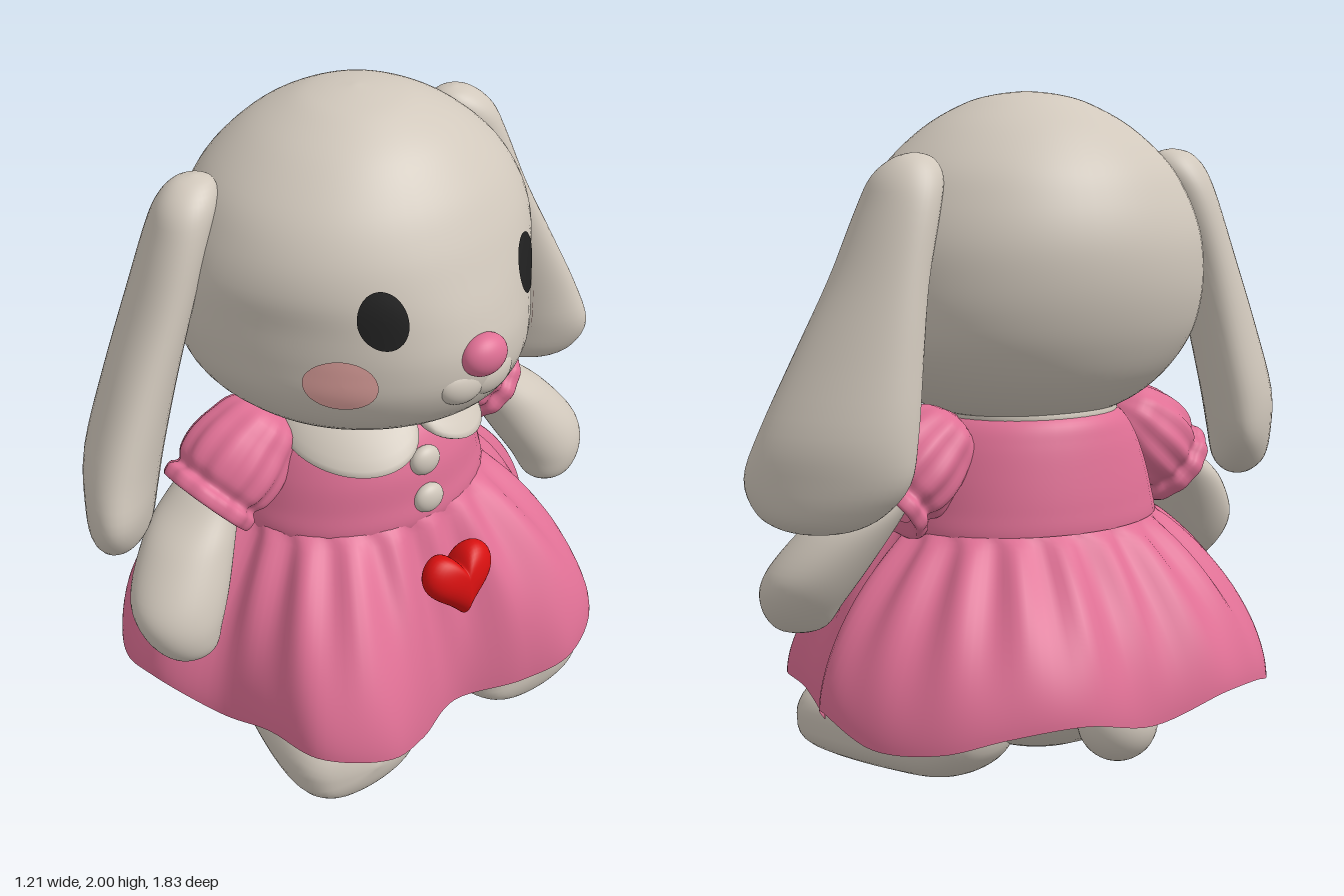
import * as THREE from 'three';
import { mergeVertices } from 'three/addons/utils/BufferGeometryUtils.js';
import { ParametricGeometry } from 'three/addons/geometries/ParametricGeometry.js';

const mat = (name, color, side = THREE.FrontSide) =>
  Object.assign(new THREE.MeshStandardMaterial({ color, side }), { name });

// Smooth interpolation through a list of rows, t in 0..1
function sample(rows, t) {
  const n = rows.length - 1, f = Math.min(t, 1) * n, i = Math.min(Math.floor(f), n - 1), k = f - i;
  const [a, b, c, d] = [rows[Math.max(i - 1, 0)], rows[i], rows[i + 1], rows[Math.min(i + 2, n)]];
  return b.map((_, j) => 0.5 * (2 * b[j] + (c[j] - a[j]) * k + (2 * a[j] - 5 * b[j] + 4 * c[j] - d[j]) * k * k
    + (3 * b[j] - a[j] - 3 * c[j] + d[j]) * k * k * k));
}

// Smooth surface from a rule, welded along its seams
function surface(fn, nu, nv) {
  const g = new ParametricGeometry(fn, nu, nv);
  g.deleteAttribute('normal');
  g.deleteAttribute('uv');
  const m = mergeVertices(g, 1e-5);
  m.computeVertexNormals();
  return m;
}

// Closed form from oval sections [y, centreX, centreZ, radiusX, radiusFront, radiusBack, pointedness, slant]
function loft(rows, nu = 40, nv = 40, ripple = () => 1) {
  return surface((u, v, p) => {
    const [y, cx, cz, rx, rf, rb, point = 1, slant = 0] = sample(rows, v);
    const a = (u % 1) * Math.PI * 2, c = Math.cos(a), k = ripple(a, v);
    const z = c > 0 ? Math.max(rf, 0) * c ** point : Math.max(rb, 0) * c;
    p.set(cx + Math.max(rx, 0) * Math.sin(a) * k, y, cz + z * k + slant * Math.sin(a));
  }, nu, nv);
}

const HEAD = [
  [1.06, 0, 0, 0, 0, 0, 1], [1.08, 0, 0, 0.2, 0.2, 0.18, 1], [1.12, 0, 0, 0.33, 0.325, 0.28, 1],
  [1.2, 0, 0, 0.435, 0.465, 0.37, 1.15], [1.3, 0, 0, 0.51, 0.53, 0.43, 1.4], [1.4, 0, 0, 0.535, 0.54, 0.465, 1.55],
  [1.5, 0, 0, 0.535, 0.515, 0.48, 1.45], [1.6, 0, 0, 0.52, 0.475, 0.475, 1.15], [1.7, 0, 0, 0.48, 0.43, 0.445, 1],
  [1.8, 0, 0, 0.415, 0.37, 0.39, 1], [1.9, 0, 0, 0.3, 0.28, 0.29, 1], [1.965, 0, 0, 0.18, 0.175, 0.175, 1],
  [1.99, 0, 0, 0.09, 0.09, 0.09, 1], [2, 0, 0, 0, 0, 0, 1]];

// Depth of the face at a given x and y
function faceZ(x, y) {
  let lo = 0, hi = 1;
  for (let i = 0; i < 30; i++) {
    const m = (lo + hi) / 2;
    if (sample(HEAD, m)[0] < y) lo = m; else hi = m;
  }
  const r = sample(HEAD, lo);
  return r[4] * Math.max(0, 1 - (x / r[3]) ** 2) ** (r[6] / 2);
}

// Thin oval patch lying on the face
function facePatch(x, y, w, h) {
  const g = new THREE.RingGeometry(0.001, 1, 36, 5), p = g.attributes.position;
  for (let i = 0; i < p.count; i++) {
    const px = x + p.getX(i) * w, py = y + p.getY(i) * h;
    p.setXYZ(i, px, py, faceZ(px, py) + 0.008);
  }
  g.computeVertexNormals();
  return g;
}

export function createModel() {
  const fur = mat('fur', 0xd1c8bc), dress = mat('dress pink', 0xe07095), cloth = mat('skirt pink', 0xe07095, THREE.DoubleSide);
  const eyeBlack = mat('eye black', 0x202020), blush = mat('blush', 0xe8a8a4), red = mat('heart red', 0xd81010);
  const model = new THREE.Group(), body = new THREE.Group();
  model.name = 'rabbitDoll';
  body.name = 'rabbit';
  body.rotation.y = Math.PI / 2; // the doll looks along +x
  model.add(body);
  const add = (name, geometry, material, pos = [0, 0, 0], rot = [0, 0, 0], scale = [1, 1, 1]) => {
    const m = new THREE.Mesh(geometry, material);
    m.name = name;
    m.position.set(...pos);
    m.rotation.set(...rot);
    m.scale.set(...scale);
    body.add(m);
  };
  const ball = new THREE.SphereGeometry(1, 32, 24);

  // Head, nose and neck
  add('head', loft(HEAD, 64, 64), fur);
  add('nose', ball, dress, [0, 1.415, 0.537], [0, 0, 0], [0.072, 0.06, 0.05]);
  add('neck', new THREE.CylinderGeometry(0.24, 0.26, 0.25, 32), fur, [0, 1.05, 0]);

  // Trunk, tail and bodice
  add('belly', ball, fur, [0, 0.43, -0.06], [0, 0, 0], [0.42, 0.34, 0.4]);
  add('tail', ball, fur, [0, 0.245, -0.43], [0, 0, 0], [0.115, 0.115, 0.115]);
  add('bodice', loft([
    [0.68, 0, 0, 0.38, 0.31, 0.3], [0.76, 0, 0, 0.41, 0.34, 0.33], [0.84, 0, 0, 0.395, 0.33, 0.325],
    [0.93, 0, 0, 0.37, 0.315, 0.31], [1.02, 0, 0, 0.33, 0.275, 0.29], [1.08, 0, 0, 0.28, 0.21, 0.265],
    [1.12, 0, 0, 0.2, 0.15, 0.2]]), dress);

  // Skirt: gathered waist flowing to a wavy hem
  const half = [[0.2, 0.18, 0.56], [0.36, 0.22, 0.6], [0.54, 0.26, 0.5], [0.58, 0.26, 0.32], [0.62, 0.22, 0.14],
    [0.735, 0.31, -0.04], [0.7, 0.25, -0.25], [0.59, 0.26, -0.42], [0.45, 0.3, -0.52], [0.25, 0.32, -0.6]];
  const hem = new THREE.CatmullRomCurve3([[0, 0.16, 0.48], ...half, [0, 0.27, -0.59],
    ...half.map(([x, y, z]) => [-x, y, z]).reverse()].map(p => new THREE.Vector3(...p)), true);
  add('skirt', surface((u, v, p) => {
    const h = hem.getPoint(u % 1), s = 1 - v, a = Math.atan2(h.x, h.z);
    const out = 1 - (1 - s) ** 1.75;
    const fold = 1 + 0.05 * Math.cos(20 * a) * Math.sin(Math.PI * Math.sqrt(s)) * (1 - s);
    const wx = 0.405 * Math.sin(a), wz = 0.338 * Math.cos(a);
    p.set((wx + (h.x - wx) * out) * fold, 0.775 + (h.y - 0.775) * s, (wz + (h.z - wz) * out) * fold);
  }, 160, 32), cloth);

  // Collar with two rounded flaps, open at the front
  add('collar', surface((u, v, p) => {
    let a = (u % 1) * Math.PI * 2;
    if (a > Math.PI) a -= Math.PI * 2;
    const e = 0.2 + 0.8 * Math.max(0, Math.sin(Math.PI * Math.min(Math.abs(a) / 1.6, 1) ** 0.8)) ** 0.6;
    const w = (v % 1) * Math.PI * 2, t = e * (0.5 + 0.5 * Math.cos(w));
    p.set((0.25 + 0.11 * t) * Math.sin(a), 1.115 - 0.13 * t + 0.022 * Math.sin(w), (0.22 + 0.17 * t) * Math.cos(a));
  }, 120, 14), fur);

  // Buttons
  for (const [y, z] of [[0.955, 0.315], [0.835, 0.335]])
    add('button', ball, fur, [0, y, z], [0, 0, 0], [0.05, 0.046, 0.03]);

  // Puffy heart
  add('heart', surface((u, v, p) => {
    const t = -(u % 1) * Math.PI * 2, w = v * Math.PI, k = 0.0076 * Math.max(Math.sin(w), 0) ** 0.8;
    const y = 13 * Math.cos(t) - 4 * Math.cos(2 * t) - 2 * Math.cos(3 * t) - Math.cos(4 * t);
    p.set((12.5 * Math.sin(t) ** 3 + 3.5 * Math.sin(t)) * k, y * k, -0.058 * Math.cos(w));
  }, 64, 20), red, [0, 0.63, 0.468], [-0.2, 0, 0]);

  // Paired parts
  for (const s of [1, -1]) {
    const side = s > 0 ? 'left' : 'right';
    const flip = rows => rows.map(([y, x, z, rx, rf, rb = rf, point = 1, slant = 0]) =>
      [y, x * s, z, rx, rf, rb, point, slant * s]);
    add(side + 'Eye', facePatch(0.252 * s, 1.555, 0.057, 0.08), eyeBlack);
    add(side + 'Cheek', facePatch(0.342 * s, 1.365, 0.067, 0.076), blush);
    add(side + 'Muzzle', ball, fur, [0.05 * s, 1.325, faceZ(0.05, 1.325) - 0.032], [0, 0, 0.25 * s], [0.08, 0.058, 0.042]);

    // Long drooping ear, turned so its outer edge comes forward
    const ear = [
      [0.82, 0.77, -0.08, 0, 0, 0], [0.835, 0.765, -0.085, 0.075, 0.06, 0.05], [0.88, 0.76, -0.095, 0.135, 0.11, 0.09],
      [0.97, 0.745, -0.11, 0.168, 0.138, 0.13], [1.1, 0.715, -0.125, 0.165, 0.148, 0.11], [1.3, 0.65, -0.125, 0.135, 0.14, 0.08],
      [1.5, 0.58, -0.12, 0.105, 0.13, 0.05], [1.68, 0.515, -0.115, 0.095, 0.115, 0.03], [1.77, 0.48, -0.11, 0.09, 0.092, 0.015],
      [1.82, 0.46, -0.11, 0.055, 0.05, 0], [1.835, 0.455, -0.11, 0, 0, 0]];
    add(side + 'Ear', loft(flip(ear.map(([y, x, z, rx, rz, slant]) => [y, x, z, rx, rz, rz, 1, slant]))), fur);

    // Arm with a mitten hand
    add(side + 'Arm', loft(flip([
      [0.495, 0.69, 0.12, 0, 0], [0.515, 0.7, 0.12, 0.075, 0.065], [0.59, 0.71, 0.095, 0.12, 0.11],
      [0.68, 0.685, 0.06, 0.145, 0.13], [0.8, 0.61, 0.01, 0.13, 0.13], [0.88, 0.54, -0.02, 0.1, 0.115],
      [0.96, 0.45, -0.03, 0.08, 0.09], [1, 0.4, -0.03, 0, 0]])), fur);

    // Puffed sleeve with a gathered cuff
    add(side + 'Sleeve', loft([
      [0, 0, 0, 0.09, 0.1, 0.1], [-0.022, 0, 0, 0.135, 0.145, 0.145], [0.012, 0, 0, 0.142, 0.152, 0.152],
      [0.035, 0, 0, 0.122, 0.135, 0.135], [0.07, 0, 0, 0.142, 0.152, 0.152], [0.13, 0, 0, 0.148, 0.158, 0.158],
      [0.2, 0, 0, 0.135, 0.145, 0.145], [0.28, 0, 0, 0.095, 0.115, 0.115], [0.33, 0, 0, 0, 0, 0]],
      72, 36, (a, v) => 1 + 0.04 * Math.cos(12 * a) * Math.sin(Math.PI * v)),
      dress, [0.515 * s, 0.875, -0.025], [0, 0, 0.84 * s]);

    // Leg and foot, stretched forward, with a flattened sole
    const leg = [
      [-0.2, 0.27, -0.22, 0, 0], [-0.17, 0.27, -0.21, 0.1, 0.1], [-0.05, 0.28, -0.18, 0.16, 0.15],
      [0.1, 0.3, -0.155, 0.195, 0.142], [0.28, 0.32, -0.147, 0.22, 0.142], [0.41, 0.33, -0.14, 0.22, 0.135],
      [0.48, 0.335, -0.132, 0.18, 0.115], [0.51, 0.34, -0.125, 0.1, 0.065], [0.525, 0.34, -0.125, 0, 0]];
    add(side + 'Leg', loft(flip(leg.map(r => [...r, r[4], 0.65]))), fur, [0, 0, 0], [Math.PI / 2, 0, 0]);
  }
  return model;
}
